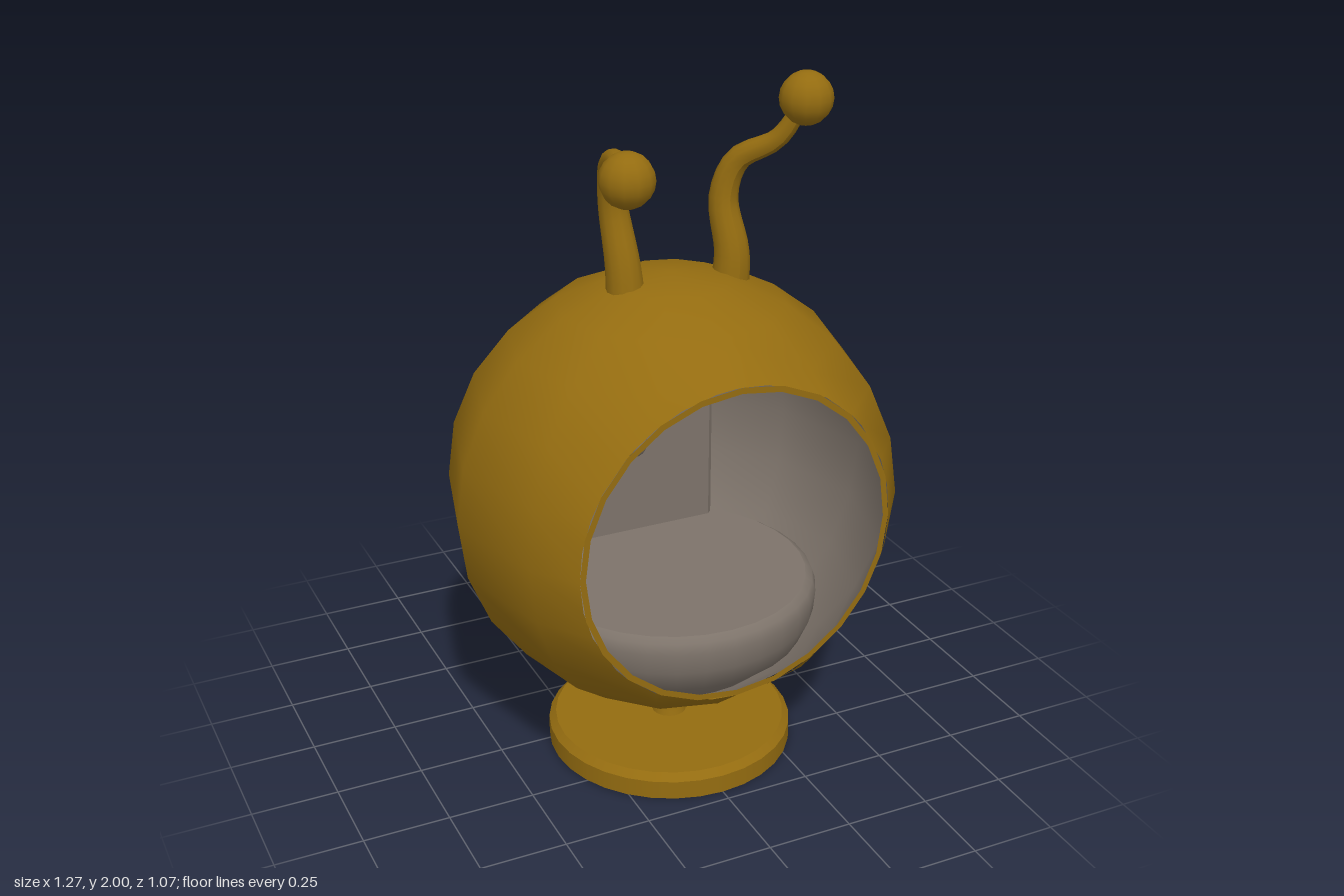
import * as THREE from 'three';
import { mergeVertices } from 'three/addons/utils/BufferGeometryUtils.js';

const CY = 0.825, CZ = 0.105; // centre of the pod
const CUT = 0.43;             // flat front opening, measured from the centre

const gold = new THREE.MeshStandardMaterial({ color: 0x946c10 });
const padding = new THREE.MeshStandardMaterial({ color: 0x7d736a });

function add(parent, name, geometry, material, x = 0, y = 0, z = 0) {
  const mesh = new THREE.Mesh(geometry, material);
  mesh.name = name;
  mesh.position.set(x, y, z);
  parent.add(mesh);
  return mesh;
}

// Sphere cut off at z = CUT, its rim rounded to rimRadius; flip makes it face inward
function cutSphere(radius, rimRadius, flip) {
  const source = new THREE.SphereGeometry(radius, 12, 12).toNonIndexed().attributes.position;
  const out = [];
  const rimPoint = (a, b) => {
    const p = a.clone().lerp(b, (CUT - a.z) / (b.z - a.z));
    const s = rimRadius / Math.hypot(p.x, p.y);
    return p.set(p.x * s, p.y * s, CUT);
  };
  for (let i = 0; i < source.count; i += 3) {
    const corners = [0, 1, 2].map(k => new THREE.Vector3().fromBufferAttribute(source, i + k));
    const kept = [];
    corners.forEach((a, k) => {
      const b = corners[(k + 1) % 3];
      if (a.z <= CUT) kept.push(a);
      if ((a.z <= CUT) !== (b.z <= CUT)) kept.push(rimPoint(a, b));
    });
    for (let k = 1; k + 1 < kept.length; k++) {
      const tri = flip ? [kept[0], kept[k + 1], kept[k]] : [kept[0], kept[k], kept[k + 1]];
      tri.forEach(p => out.push(p.x, p.y, p.z));
    }
  }
  const geometry = new THREE.BufferGeometry();
  geometry.setAttribute('position', new THREE.Float32BufferAttribute(out, 3));
  const smooth = mergeVertices(geometry, 1e-4);
  smooth.computeVertexNormals();
  return smooth;
}

// Tube along a curve whose radius shrinks from r0 to r1
function taperedTube(points, r0, r1) {
  const curve = new THREE.CatmullRomCurve3(points.map(p => new THREE.Vector3(...p)));
  const steps = 20, sides = 12;
  const geometry = new THREE.TubeGeometry(curve, steps, 1, sides);
  const pos = geometry.attributes.position, v = new THREE.Vector3();
  for (let i = 0; i < pos.count; i++) {
    const t = Math.floor(i / (sides + 1)) / steps;
    const centre = curve.getPointAt(t);
    v.fromBufferAttribute(pos, i).sub(centre).multiplyScalar(r0 + (r1 - r0) * t).add(centre);
    pos.setXYZ(i, v.x, v.y, v.z);
  }
  geometry.computeVertexNormals();
  return geometry;
}

function lathe(points, sides) {
  return new THREE.LatheGeometry(points.map(p => new THREE.Vector2(...p)), sides);
}

export function createModel() {
  const model = new THREE.Group();
  model.name = 'podChair';

  // Foot and stem
  const pedestal = new THREE.Group();
  pedestal.name = 'pedestal';
  model.add(pedestal);
  add(pedestal, 'footPlate', new THREE.CylinderGeometry(0.36, 0.36, 0.055, 32), gold, 0, 0.0275, CZ);
  add(pedestal, 'footBevel', new THREE.CylinderGeometry(0.34, 0.36, 0.02, 32), gold, 0, 0.065, CZ);
  add(pedestal, 'stem', lathe([[0.052, 0.07], [0.046, 0.09], [0.04, 0.115], [0.04, 0.22]], 16), gold, 0, 0, CZ);

  // Pod shell, lining and the rim between them
  const pod = new THREE.Group();
  pod.name = 'pod';
  pod.position.set(0, CY, CZ);
  model.add(pod);
  add(pod, 'shell', cutSphere(0.637, 0.46, false), gold);
  add(pod, 'lining', cutSphere(0.62, 0.445, true), padding);
  add(pod, 'rim', new THREE.RingGeometry(0.443, 0.46, 24), gold, 0, 0, CUT);

  // Round seat cushion
  add(model, 'seatCushion', lathe([
    [0.3, 0.3], [0.39, 0.38], [0.42, 0.45], [0.425, 0.51], [0.415, 0.54], [0.395, 0.553]
  ], 32), padding, 0, 0, CZ);
  const top = add(model, 'seatTop', new THREE.CircleGeometry(0.395, 32), padding, 0, 0.553, CZ);
  top.rotation.x = -Math.PI / 2;

  // Backrest: rounded panel with a slight dip in its top edge
  const panel = new THREE.Shape();
  panel.moveTo(-0.255, 0.5);
  panel.lineTo(0.255, 0.5);
  panel.lineTo(0.255, 1.04);
  panel.quadraticCurveTo(0.25, 1.13, 0.15, 1.145);
  panel.quadraticCurveTo(0, 1.115, -0.15, 1.145);
  panel.quadraticCurveTo(-0.25, 1.13, -0.255, 1.04);
  panel.closePath();
  add(model, 'backrest', new THREE.ExtrudeGeometry(panel, {
    depth: 0.11, bevelSize: 0.015, bevelThickness: 0.015, bevelSegments: 1, curveSegments: 5
  }), padding, 0, 0, -0.28);
  add(model, 'backrestButton', new THREE.SphereGeometry(0.043, 16, 12), padding, 0, 0.843, -0.15);

  // Two bent antennae with ball tips
  const antennae = {
    rightAntenna: [[-0.135, 1.39, 0.11], [-0.14, 1.5, 0.1], [-0.153, 1.66, 0.068],
      [-0.17, 1.77, 0.095], [-0.195, 1.815, 0.18], [-0.24, 1.815, 0.355]],
    leftAntenna: [[0.183, 1.39, 0.1], [0.188, 1.49, 0.1], [0.175, 1.64, 0.07],
      [0.205, 1.745, 0.09], [0.285, 1.815, 0.17], [0.337, 1.93, 0.222]]
  };
  for (const [name, path] of Object.entries(antennae)) {
    const antenna = new THREE.Group();
    antenna.name = name;
    model.add(antenna);
    add(antenna, 'stalk', taperedTube(path, 0.054, 0.02), gold);
    add(antenna, 'tip', new THREE.SphereGeometry(0.073, 12, 10), gold, ...path[path.length - 1]);
  }
  return model;
}
